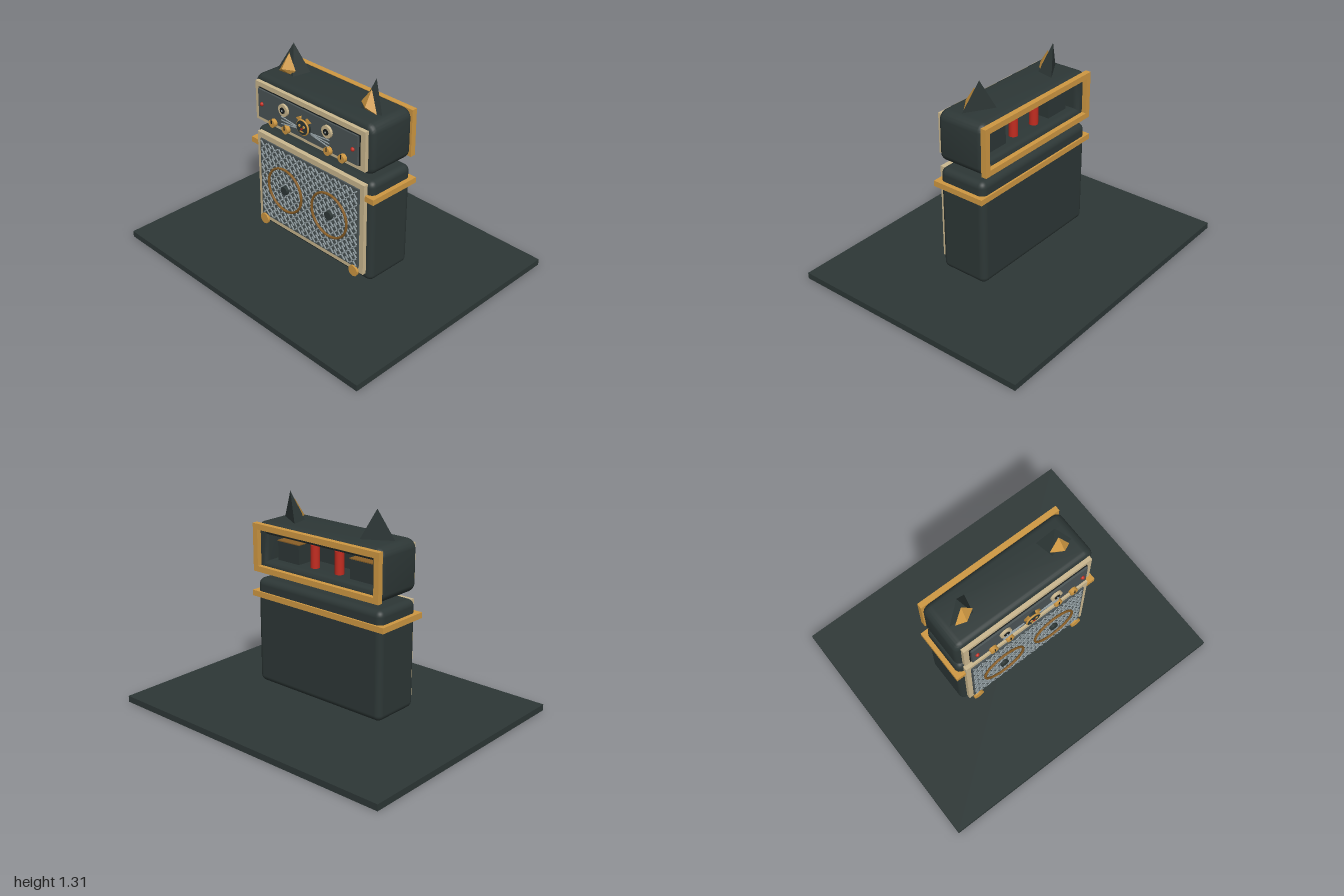
import * as THREE from 'three';
import { mergeGeometries, toCreasedNormals } from 'three/addons/utils/BufferGeometryUtils.js';
import { RoundedBoxGeometry } from 'three/addons/geometries/RoundedBoxGeometry.js';
import { ConvexGeometry } from 'three/addons/geometries/ConvexGeometry.js';

const paint = (name, color) => {
  const m = new THREE.MeshStandardMaterial({ color });
  m.name = name;
  return m;
};

export function createModel() {
  const charcoal = paint('charcoal', 0x2d3736);
  const gold = paint('gold', 0xcf9842);
  const cream = paint('cream', 0xcbb88f);
  const slate = paint('slate', 0x4b5456);
  const silver = paint('silver', 0x97a3a7);
  const bronze = paint('bronze', 0x8a5f27);
  const red = paint('red', 0xc22c20);
  const black = paint('black', 0x171c1c);

  const model = new THREE.Group();
  model.name = 'catAmplifier';

  const add = (name, geo, mat, x = 0, y = 0, z = 0, parent = model) => {
    const mesh = new THREE.Mesh(geo, mat);
    mesh.name = name;
    mesh.position.set(x, y, z);
    parent.add(mesh);
    return mesh;
  };
  const box = (w, h, d) => new THREE.BoxGeometry(w, h, d);
  // Disc whose axis points to the front
  const disc = (r, d, sides = 24) => new THREE.CylinderGeometry(r, r, d, sides).rotateX(Math.PI / 2);
  // Rectangle outline with optional corner radius
  const rect = (w, h, r = 0, Type = THREE.Shape) => {
    const s = new Type();
    const x = w / 2, y = h / 2;
    if (r === 0) {
      s.moveTo(-x, -y).lineTo(x, -y).lineTo(x, y).lineTo(-x, y).lineTo(-x, -y);
    } else {
      s.absarc(x - r, y - r, r, 0, Math.PI / 2);
      s.absarc(-x + r, y - r, r, Math.PI / 2, Math.PI);
      s.absarc(-x + r, -y + r, r, Math.PI, Math.PI * 1.5);
      s.absarc(x - r, -y + r, r, Math.PI * 1.5, Math.PI * 2);
    }
    return s;
  };
  // Flat rectangular frame, centred in depth
  const frame = (w, h, bar, depth) => {
    const s = rect(w, h);
    s.holes.push(rect(w - 2 * bar, h - 2 * bar, 0, THREE.Path));
    return new THREE.ExtrudeGeometry(s, { depth, bevelEnabled: false }).translate(0, 0, -depth / 2);
  };

  // Floor board and feet
  add('floorBoard', box(2, 0.04, 1.6), charcoal, 0, 0.02, 0);
  for (const s of [-1, 1]) {
    add('foot', new THREE.CylinderGeometry(0.033, 0.033, 0.05, 20), silver, s * 0.37, 0.08, 0.023);
  }

  // Speaker cabinet
  add('cabinet', new RoundedBoxGeometry(0.975, 0.68, 0.325, 4, 0.04), charcoal, 0, 0.43, 0.002);
  add('cabinetTrim', frame(0.9, 0.61, 0.035, 0.03), cream, 0, 0.45, 0.175);
  add('grilleCloth', box(0.835, 0.54, 0.04), slate, 0, 0.45, 0.18);
  add('collar', frame(1.03, 0.357, 0.034, 0.036).rotateX(Math.PI / 2), gold, 0, 0.67, 0.006);

  // Woven grille: short slanted wires in alternating directions
  const wires = [];
  const cols = 26, rows = 17, stepX = 0.82 / cols, stepY = 0.525 / rows;
  for (let i = 0; i < cols; i++) {
    for (let j = 0; j < rows; j++) {
      const falling = (i + 2 * j) % 3 !== 0;
      wires.push(box(falling ? 0.038 : 0.028, 0.009, 0.006)
        .rotateZ(falling ? -0.85 : 0.75)
        .translate((i + 0.5) * stepX - 0.41, (j + 0.5) * stepY - 0.2625, 0));
    }
  }
  add('grilleWeave', mergeGeometries(wires), silver, 0, 0.45, 0.202);

  // Speaker rings, dust caps and corner studs
  for (const s of [-1, 1]) {
    add('speakerRing', new THREE.TorusGeometry(0.145, 0.008, 8, 48), bronze, s * 0.19, 0.45, 0.213);
    add('dustCap', disc(0.028, 0.02), charcoal, s * 0.19, 0.45, 0.213);
    add('cornerStud', disc(0.036, 0.016, 10), gold, s * 0.39, 0.155, 0.205);
  }

  // Amplifier head: rounded shell, open at the back
  const shell = rect(0.905, 0.25, 0.025);
  shell.holes.push(rect(0.9, 0.245, 0.02, THREE.Path));
  shell.holes[0] = rect(0.94, 0.285, 0.02, THREE.Path);
  const bevel = 0.035;
  const outer = rect(0.905, 0.25, 0.025);
  outer.holes.push(rect(0.9 - 0.02, 0.25 - 0.02, 0.02, THREE.Path));
  const headGeo = new THREE.ExtrudeGeometry(outer, {
    depth: 0.25, bevelThickness: bevel, bevelSize: bevel, bevelSegments: 5, curveSegments: 6,
  }).translate(0, 0, -0.12);
  const head = new THREE.Group();
  head.name = 'head';
  head.position.y = 0.97;
  model.add(head);
  add('headShell', toCreasedNormals(headGeo, 0.6), charcoal, 0, 0, 0, head);
  add('headFrontWall', box(0.885, 0.235, 0.11), charcoal, 0, 0, 0.108, head);
  add('headTrim', frame(0.905, 0.252, 0.035, 0.03), cream, 0, 0, 0.175, head);
  add('controlPanel', box(0.82, 0.185, 0.05), slate, 0, 0, 0.183, head);
  add('panelEdge', frame(0.835, 0.192, 0.005, 0.012), black, 0, 0, 0.19, head);
  add('backFrame', frame(0.975, 0.3, 0.036, 0.035), gold, 0, 0, -0.168, head);

  // Tubes and transformers in the open back
  for (const s of [-1, 1]) {
    add('tubeSocket', new THREE.CylinderGeometry(0.036, 0.036, 0.03, 20), gold, s * 0.095, -0.1, -0.06, head);
    add('tube', new THREE.CylinderGeometry(0.028, 0.028, 0.15, 20), red, s * 0.095, -0.015, -0.06, head);
    add('transformer', box(0.17, 0.15, 0.12), charcoal, s * 0.285, -0.035, -0.03, head);
    add('transformerPlate', box(0.175, 0.006, 0.125), bronze, s * 0.285, 0.042, -0.03, head);
  }

  // Eye dials and red lamps
  for (const s of [-1, 1]) {
    add('eyeDial', disc(0.039, 0.02), cream, s * 0.18, 0.035, 0.213, head);
    add('eyePupil', disc(0.019, 0.012), black, s * 0.18, 0.035, 0.222, head);
    add('eyeGlint', disc(0.006, 0.006, 10), silver, s * 0.18, 0.035, 0.228, head);
    add('lamp', new THREE.SphereGeometry(0.013, 14, 10), red, s * 0.377, 0, 0.21, head);
  }
  // Paw knobs with a pointer on each
  for (const x of [-0.27, -0.157, 0.192, 0.307]) {
    add('pawKnob', disc(0.026, 0.026, 16), gold, x, -0.082, 0.22, head);
    add('knobPointer', box(0.006, 0.026, 0.006), black, x, -0.068, 0.234, head);
  }

  // Cat badge with ears, eyes, nose, mouth and whiskers
  const badge = new THREE.Group();
  badge.name = 'catBadge';
  badge.position.set(0, -0.002, 0.225);
  head.add(badge);
  add('badgeFace', disc(0.044, 0.03), charcoal, 0, 0, 0, badge);
  add('badgeRim', new THREE.TorusGeometry(0.045, 0.006, 8, 28), gold, 0, 0, 0.008, badge);
  add('badgeNose', disc(0.009, 0.006, 3), red, 0, -0.008, 0.018, badge);
  add('badgeMouth', box(0.03, 0.006, 0.006), gold, 0, -0.024, 0.016, badge);
  for (const s of [-1, 1]) {
    add('badgeEar', disc(0.022, 0.014, 3), gold, s * 0.035, 0.043, 0, badge).rotation.z = -s * 0.5;
    add('badgeEye', disc(0.009, 0.006, 12), gold, s * 0.018, 0.01, 0.016, badge);
    for (const k of [0, 1, 2]) {
      const whisker = add('whisker', box(0.15, 0.005, 0.005), silver, s * 0.125, -0.018 - k * 0.013, -0.008, badge);
      whisker.rotation.z = s * (0.1 - k * 0.13);
    }
  }

  // Ears: dark three-sided horns with gold linings
  const pyramid = (points, s) => new ConvexGeometry(points.map(([x, y, z]) => new THREE.Vector3(s * x, y, z)));
  for (const s of [-1, 1]) {
    add('ear', pyramid([[0.335, 1.31, -0.015], [0.25, 1.125, -0.07], [0.43, 1.125, 0.035], [0.275, 1.125, 0.05]], s), charcoal);
    add('earLining', pyramid([[0.335, 1.257, 0.022], [0.4, 1.13, 0.047], [0.268, 1.165, 0.035], [0.34, 1.168, 0.08], [0.3, 1.13, 0.04]], s), gold);
  }
  return model;
}
